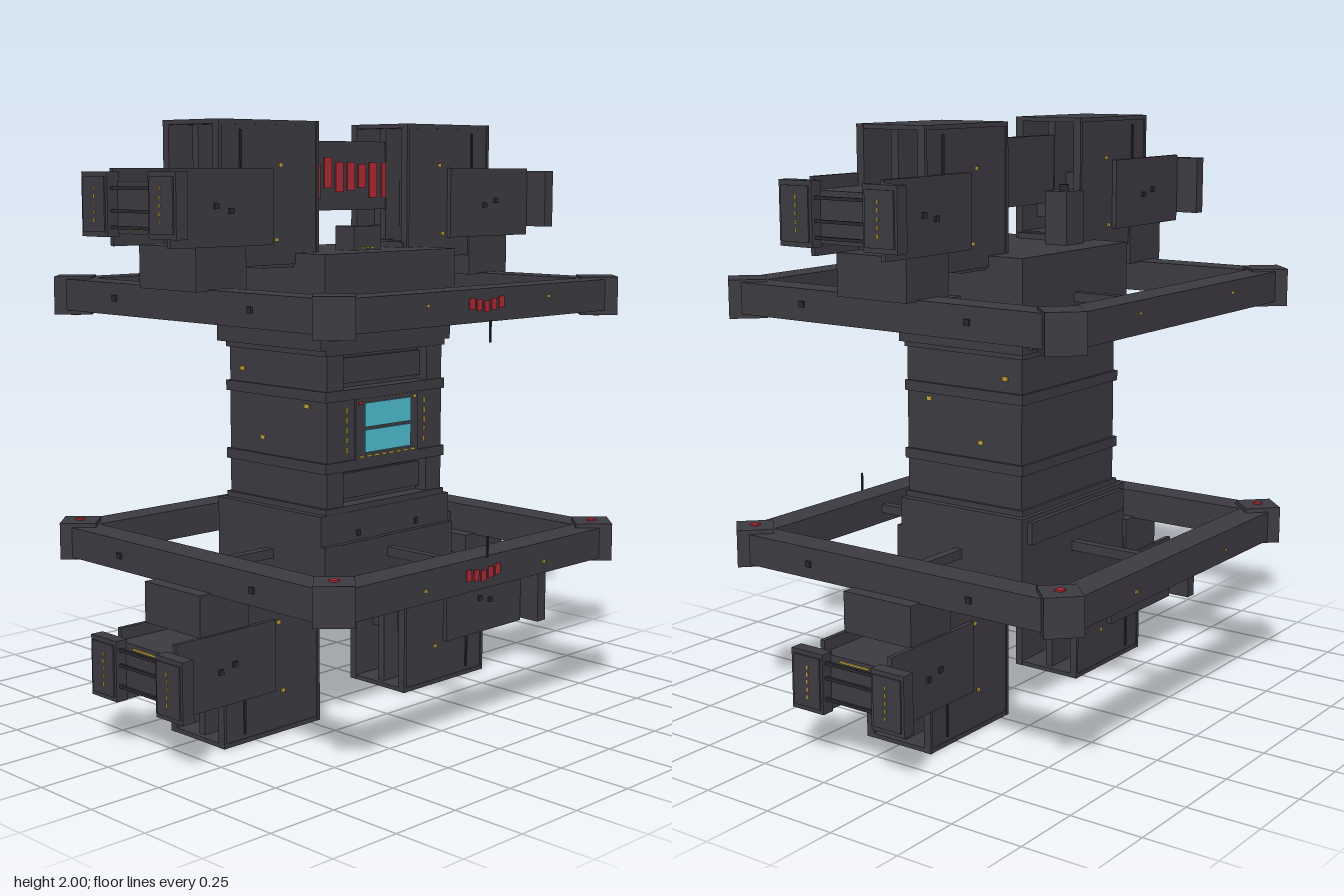
import * as THREE from 'three';

const mat = (name, color) => {
  const m = new THREE.MeshStandardMaterial({ color });
  m.name = name;
  return m;
};

export function createModel() {
  const root = new THREE.Group();
  root.name = 'station';
  const hull = mat('charcoal hull', 0x3d3b42);
  const trim = mat('dark trim', 0x2b2a2f);
  const red = mat('red marking', 0xb02a35);
  const cyan = mat('cyan window', 0x50bfd3);
  const yellow = mat('yellow light', 0xc8a840);

  // Box given by its extents; sx and sy mirror it about x = 0 and y = 1
  const box = (name, m, [x0, x1], [y0, y1], [z0, z1], sx = 1, sy = 1) => {
    const mesh = new THREE.Mesh(new THREE.BoxGeometry(x1 - x0, y1 - y0, z1 - z0), m);
    mesh.position.set(sx * (x0 + x1) / 2, 1 + sy * ((y0 + y1) / 2 - 1), (z0 + z1) / 2);
    mesh.name = name;
    root.add(mesh);
    return mesh;
  };
  const span = (c, w) => [c - w / 2, c + w / 2];

  // Central core with recessed front bays and raised bands
  box('core', hull, [-0.275, 0.275], [0.74, 1.28], [-0.235, 0.19]);
  box('corePanel', hull, [-0.275, 0.275], [0.88, 1.12], [0.19, 0.238]);
  for (const sx of [1, -1]) box('coreCheek', hull, [0.2, 0.275], [0.74, 1.28], [0.19, 0.238], sx);
  for (const sy of [1, -1]) {
    box('coreBand', hull, [-0.285, 0.285], [1.1, 1.135], [-0.245, 0.243], 1, sy);
    box('coreBand', hull, [-0.285, 0.285], [1.25, 1.275], [-0.245, 0.243], 1, sy);
    box('bayLip', hull, [-0.26, 0.26], [1.15, 1.235], [0.19, 0.205], 1, sy);
  }

  // Control window and its lights
  box('windowFrame', hull, [-0.15, 0.15], [0.9, 1.1], [0.238, 0.246]);
  box('upperWindow', cyan, [-0.11, 0.11], [1.005, 1.085], [0.246, 0.25]);
  box('lowerWindow', cyan, [-0.11, 0.11], [0.92, 0.995], [0.246, 0.25]);
  for (let i = 0; i < 5; i++) {
    for (const sx of [1, -1])
      box('sideLight', yellow, span(0.187, 0.007), span(0.935 + i * 0.033, 0.02), [0.238, 0.243], sx);
  }
  for (let i = 0; i < 8; i++)
    box('sillLight', yellow, span(-0.123 + i * 0.035, 0.02), span(0.907, 0.007), [0.246, 0.25]);
  box('cornerLight', red, span(-0.13, 0.016), span(1.087, 0.01), [0.246, 0.25]);
  box('cornerLight', yellow, span(0.13, 0.016), span(1.087, 0.01), [0.246, 0.25]);
  for (const [y, z] of [[1.18, -0.17], [1.08, 0.145], [0.955, -0.07]])
    for (const sx of [1, -1])
      box('hullLight', yellow, [0.275, 0.279], span(y, 0.014), span(z, 0.02), sx);

  for (const sy of [1, -1]) {
    // End blocks of the core
    box('endBlock', hull, [-0.31, 0.31], [1.37, 1.58], [-0.262, 0.264], 1, sy);
    box('endBlockStep', hull, [-0.31, 0.31], [1.27, 1.37], [-0.262, 0.245], 1, sy);
    box('backPlate', hull, [-0.28, 0.28], [1.285, 1.36], [-0.28, -0.262], 1, sy);
    for (const sx of [1, -1])
      box('bolt', trim, span(0.14, 0.012), span(1.345, 0.02), [0.245, 0.253], sx, sy);

    // Square ring, spokes and turned corner blocks
    for (const s of [1, -1]) {
      box('ringBar', hull, [-0.63, 0.63], [1.375, 1.48], span(s * 0.633, 0.105), 1, sy);
      box('ringBar', hull, [0.582, 0.687], [1.375, 1.48], [-0.63, 0.63], s, sy);
      box('spoke', hull, [-0.016, 0.016], [1.41, 1.442], span(s * 0.42, 0.34), 1, sy);
      box('spoke', hull, [0.3, 0.6], [1.41, 1.442], [-0.016, 0.016], s, sy);
      for (const t of [1, -1]) {
        const corner = box('ringCorner', hull, span(0.628, 0.125), [1.36, 1.488], span(t * 0.628, 0.125), s, sy);
        corner.rotation.y = Math.PI / 4;
        box('cornerBeacon', red, span(0.628, 0.025), [1.354, 1.36], span(t * 0.628, 0.025), s, sy);
        box('ringLight', yellow, span(0.29, 0.012), span(1.44, 0.01), span(t * 0.687, 0.006), s, sy);
        box('ringStud', trim, [0.687, 0.695], span(1.43, 0.02), span(t * 0.33, 0.02), s, sy);
      }
    }
    for (let i = 0; i < 5; i++)
      box('ringMarking', red, span(-0.088 + i * 0.035, 0.024), span(sy * 0.43 + 1 + [0.005, 0, -0.006, 0, 0.005][i], 0.036), [0.685, 0.69]);
    box('ringAntenna', trim, span(0, 0.006), [1.31, 1.38], span(0.688, 0.006), 1, sy);

    for (const sx of [1, -1]) {
      // Hollow module, open at both ends, with a middle wall
      box('moduleCap', hull, [0.21, 0.635], [1.985, 2], [-0.133, 0.133], sx, sy);
      box('moduleFloor', hull, [0.22, 0.625], [1.545, 1.605], [-0.13, 0.13], sx, sy);
      box('moduleDivider', hull, [0.23, 0.615], [1.58, 1.99], [-0.014, 0.014], sx, sy);
      box('moduleLink', hull, [0.2, 0.44], [1.535, 1.6], [-0.12, 0.12], sx, sy);
      for (const t of [1, -1]) {
        box('moduleWall', hull, [0.22, 0.625], [1.545, 1.99], span(t * 0.119, 0.022), sx, sy);
        box('moduleRib', trim, span(0.545, 0.008), [1.85, 1.97], span(t * 0.131, 0.008), sx, sy);
        box('moduleLight', yellow, span(0.375, 0.016), span(1.86, 0.012), span(t * 0.131, 0.006), sx, sy);
        box('moduleLight', yellow, span(0.395, 0.016), span(1.625, 0.012), span(t * 0.131, 0.006), sx, sy);
        for (const x of [0.215, 0.63])
          box('moduleFlange', hull, span(x, 0.012), [1.545, 2], span(t * 0.12, 0.028), sx, sy);

        // Docking pod cheeks, end pads and their lights
        box('podCheek', hull, [0.42, 0.84], [1.61, 1.85], span(t * 0.138, 0.016), sx, sy);
        box('podPad', hull, [0.84, 0.885], [1.64, 1.84], span(t * 0.165, 0.13), sx, sy);
        box('podPadEdge', hull, [0.848, 0.89], [1.655, 1.825], span(t * 0.165, 0.11), sx, sy);
        for (let i = 0; i < 5; i++)
          box('padLight', yellow, [0.889, 0.893], span(1.69 + i * 0.025, 0.014), span(t * 0.16, 0.006), sx, sy);
        for (const [x, y] of [[0.66, 1.735], [0.6, 1.72]])
          box('podBolt', trim, span(x, 0.018), span(y, 0.018), span(t * 0.149, 0.01), sx, sy);
      }
      box('podCore', hull, [0.3, 0.845], [1.65, 1.81], [-0.13, 0.13], sx, sy);
      for (const y of [1.67, 1.72, 1.79])
        box('podRod', trim, span(0.868, 0.01), span(y, 0.01), [-0.11, 0.11], sx, sy);
      box('podStripe', yellow, [0.845, 0.85], span(1.665, 0.006), [-0.06, 0.06], sx, sy);

      // Bracket between pod and ring
      box('podBracket', hull, [0.53, 0.735], [1.475, 1.612], [-0.138, 0.138], sx, sy);
    }
  }

  // Marked panel joining the two upper modules
  box('bridgePanel', hull, [-0.225, 0.225], [1.71, 1.94], [-0.014, 0.014]);
  const stripes = [[1.755, 1.885], [1.77, 1.9], [1.75, 1.86], [1.785, 1.885], [1.77, 1.87], [1.775, 1.87], [1.785, 1.865], [1.75, 1.87], [1.75, 1.87]];
  stripes.forEach((ys, i) =>
    box('bridgeMarking', red, span((i - 4) * 0.054, i % 8 ? 0.036 : 0.02), ys, [0.014, 0.019]));

  // Roof equipment
  box('mastHousing', hull, [-0.192, -0.088], [1.58, 1.76], [-0.16, -0.072]);
  const pin = new THREE.Mesh(new THREE.CylinderGeometry(0.016, 0.016, 0.02, 12), trim);
  pin.position.set(-0.14, 1.77, -0.115);
  pin.name = 'mastPin';
  root.add(pin);
  box('roofBox', hull, [-0.066, 0.062], [1.58, 1.66], [0.065, 0.152]);
  for (let i = 0; i < 3; i++)
    box('roofLight', yellow, span(-0.025 + i * 0.022, 0.012), span(1.588, 0.006), [0.152, 0.156]);

  return root;
}
